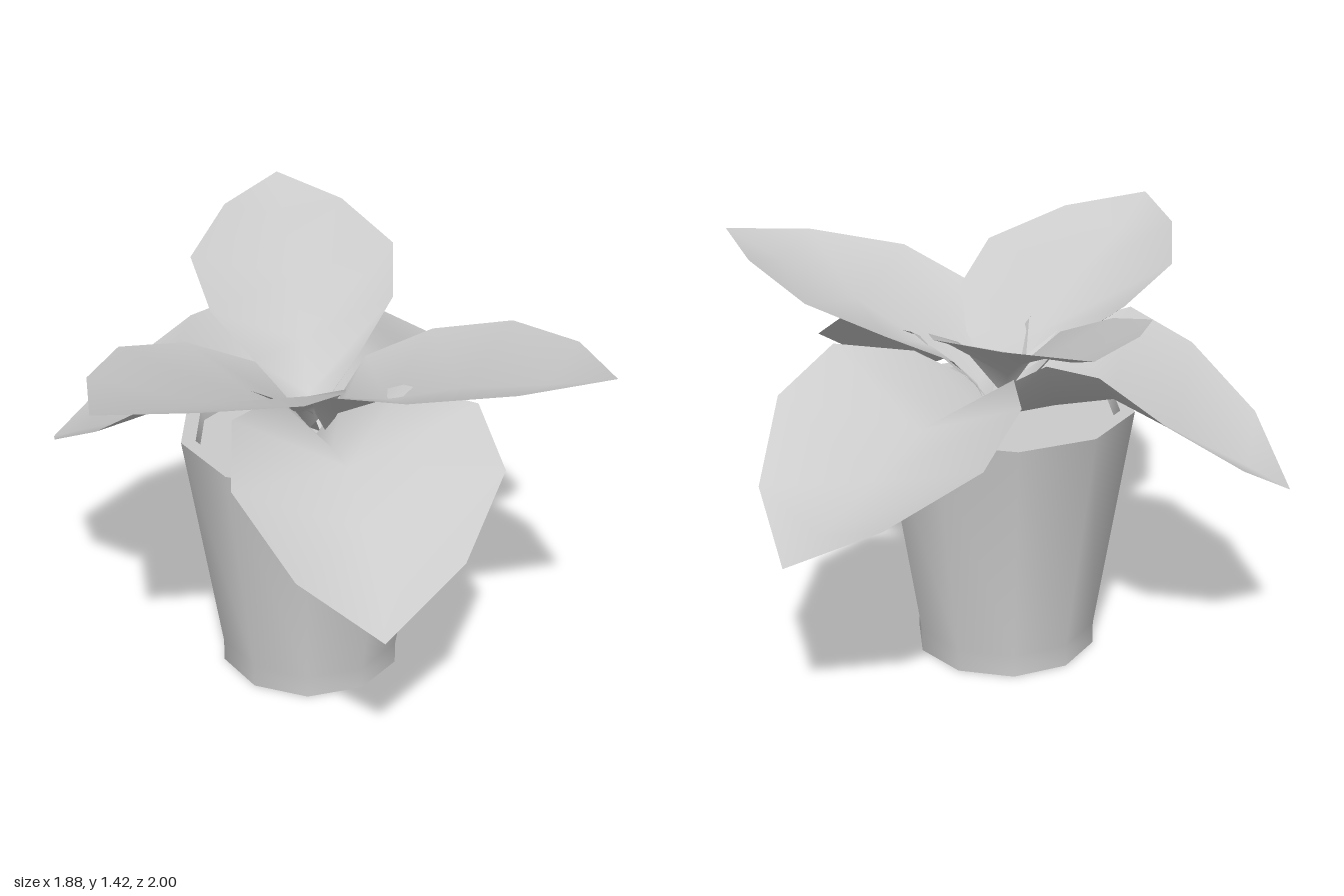
import * as THREE from 'three';
import { toCreasedNormals } from 'three/addons/utils/BufferGeometryUtils.js';

const material = new THREE.MeshStandardMaterial({ color: 0xcccccc, side: THREE.DoubleSide });

// Leaf cross-sections, slightly lopsided:
// [distance along, x of one edge, x of midrib, x of other edge, y of edge, y of midrib, y of other edge]
const lowerSections = [
  [0.0, -0.08, 0.01, 0.1, 0.98, 0.86, 0.98],
  [0.2, -0.17, 0.02, 0.26, 1.12, 0.91, 1.12],
  [0.4, -0.35, 0.025, 0.455, 1.16, 0.945, 1.13],
  [0.62, -0.395, 0.03, 0.485, 1.03, 0.84, 1.0],
  [0.865, -0.245, 0.02, 0.29, 0.83, 0.735, 0.83],
  [1.01, 0, 0, 0, 0.67, 0.67, 0.67],
];
const upperSections = [
  [-0.02, -0.03, 0.045, 0.13, 0.98, 0.87, 0.98],
  [0.02, -0.13, 0.045, 0.23, 1.1, 0.96, 1.1],
  [0.21, -0.28, 0.035, 0.35, 1.21, 1.07, 1.2],
  [0.49, -0.335, 0.025, 0.385, 1.29, 1.19, 1.285],
  [0.8, -0.205, 0.01, 0.225, 1.345, 1.29, 1.35],
  [1.03, 0, 0, 0, 1.375, 1.375, 1.375],
];

// V-folded leaf growing along +z: edge, midrib and edge per section
function leafGeometry(sections) {
  const positions = [];
  const index = [];
  const last = sections.length - 1;
  sections.forEach(([z, x0, x1, x2, y0, y1, y2], i) => {
    positions.push(x0, y0, z, x1, y1, z, x2, y2, z);
    if (i === last) return;
    for (let k = 0; k < 2; k++) {
      const a = i * 3 + k;
      // the last section is a single tip point, so one triangle per side closes it
      if (i === last - 1) index.push(a, last * 3 + 1, a + 1);
      else index.push(a, a + 3, a + 1, a + 1, a + 3, a + 4);
    }
  });
  const g = new THREE.BufferGeometry();
  g.setAttribute('position', new THREE.Float32BufferAttribute(positions, 3));
  g.setIndex(index);
  g.computeVertexNormals();
  return g;
}

// Places a leaf by the ground position of its tip and its heading in degrees
function addLeaf(group, name, geometry, length, tipX, tipZ, degrees, lift = 0) {
  const a = THREE.MathUtils.degToRad(degrees);
  const leaf = new THREE.Mesh(geometry, material);
  leaf.name = name;
  leaf.rotation.y = a;
  leaf.position.set(tipX - length * Math.sin(a), lift, tipZ - length * Math.cos(a));
  group.add(leaf);
}

export function createModel() {
  const model = new THREE.Group();
  model.name = 'pottedPlant';

  // Ten-sided tapered pot with a straight foot and a thin rim
  const profile = [[0, 0], [0.32, 0], [0.32, 0.08], [0.45, 0.9], [0.4, 0.9], [0.385, 0.82]]
    .map(([r, y]) => new THREE.Vector2(r, y));
  const pot = new THREE.Mesh(toCreasedNormals(new THREE.LatheGeometry(profile, 10), 0.75), material);
  pot.name = 'pot';
  pot.position.set(-0.005, 0, 0.03);
  model.add(pot);

  // Soil surface
  const soil = new THREE.Mesh(new THREE.CylinderGeometry(0.39, 0.38, 0.03, 10), material);
  soil.name = 'soil';
  soil.position.set(-0.005, 0.835, 0.03);
  model.add(soil);

  // Three drooping lower leaves
  const lower = leafGeometry(lowerSections);
  addLeaf(model, 'lowerLeafFront', lower, 1.01, 0.25, 1.0, 14);
  addLeaf(model, 'lowerLeafBack', lower, 1.01, 0.76, -0.73, 135);
  addLeaf(model, 'lowerLeafSide', lower, 1.01, -0.94, -0.29, 254);

  // Three rising upper leaves
  const upper = leafGeometry(upperSections);
  addLeaf(model, 'upperLeafLeft', upper, 1.03, 0.94, 0.6, 60);
  addLeaf(model, 'upperLeafBack', upper, 1.03, -0.16, -1.0, 191, 0.045);
  addLeaf(model, 'upperLeafRight', upper, 1.03, -0.62, 0.9, -32.5, 0.01);

  return model;
}
